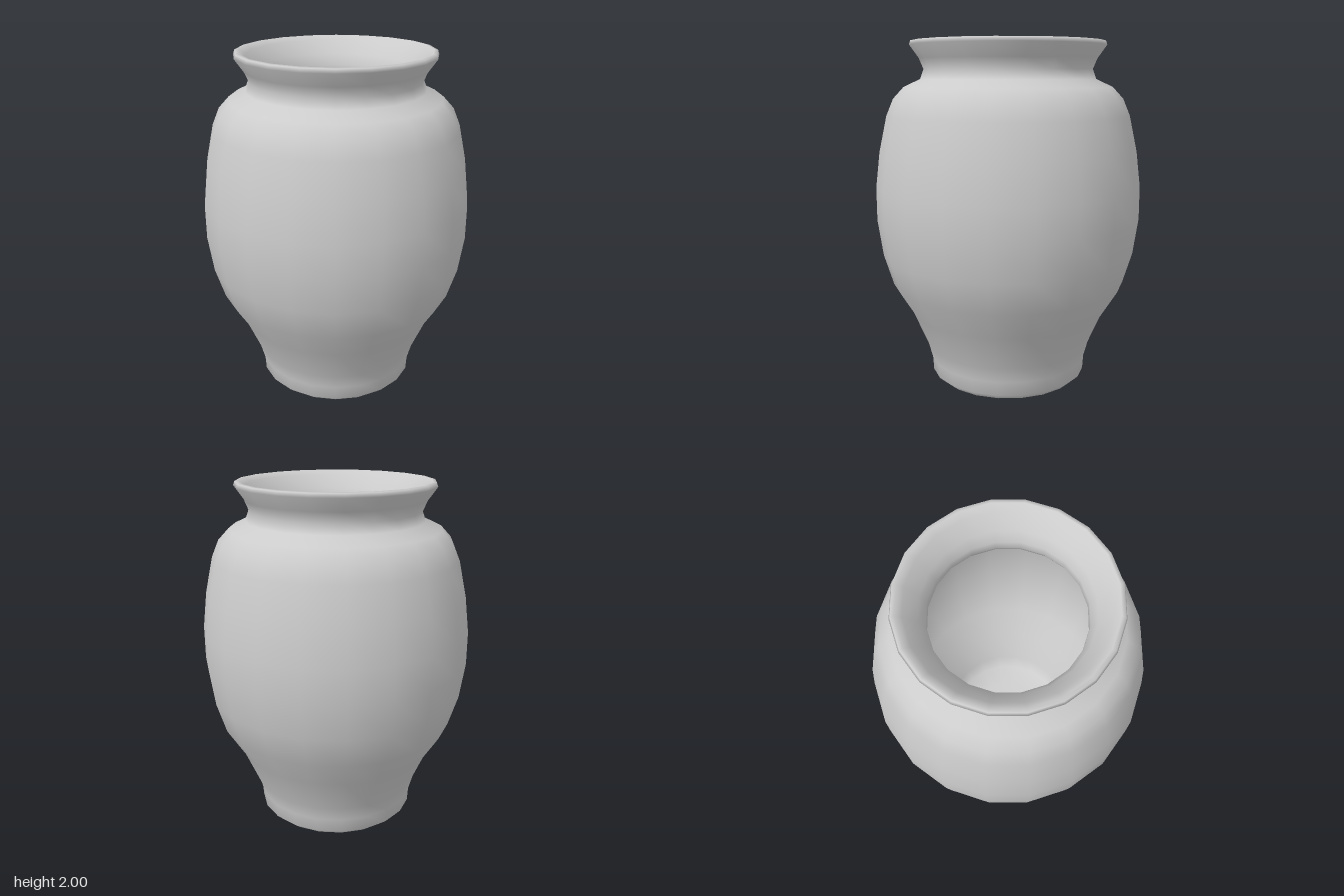
import * as THREE from 'three';

const SIDES = 20;

// Turns a list of [radius, height] pairs into a smooth 20-sided surface
function turned(name, profile, material) {
  const points = profile.map(([r, y]) => new THREE.Vector2(r, y));
  const mesh = new THREE.Mesh(new THREE.LatheGeometry(points, SIDES), material);
  mesh.name = name;
  return mesh;
}

export function createModel() {
  const group = new THREE.Group();
  group.name = 'vase';
  const material = new THREE.MeshStandardMaterial({ color: 0xcccccc });

  // One continuous profile: base, belly, shoulder, neck, lip, then down the inside
  group.add(turned('vaseBody', [
    // foot
    [0, 0], [0.39, 0], [0.42, 0.005], [0.46, 0.04], [0.465, 0.12], [0.49, 0.21],
    // belly
    [0.58, 0.42], [0.685, 0.59], [0.74, 0.77], [0.77, 0.98], [0.77, 1.17], [0.745, 1.375],
    // shoulder and neck
    [0.70, 1.58], [0.66, 1.675], [0.60, 1.74], [0.505, 1.785], [0.485, 1.84], [0.51, 1.90],
    // flared lip
    [0.563, 1.975], [0.555, 1.997], [0.535, 2.0], [0.50, 1.975],
    // throat
    [0.435, 1.90], [0.405, 1.84], [0.402, 1.79], [0.43, 1.73],
    // hollow inside, following the outer wall
    [0.55, 1.66], [0.62, 1.56], [0.67, 1.375], [0.695, 1.17], [0.695, 0.98], [0.665, 0.79],
    [0.605, 0.62], [0.50, 0.44], [0.41, 0.23], [0.37, 0.14], [0.25, 0.09], [0, 0.08],
  ], material));

  return group;
}
